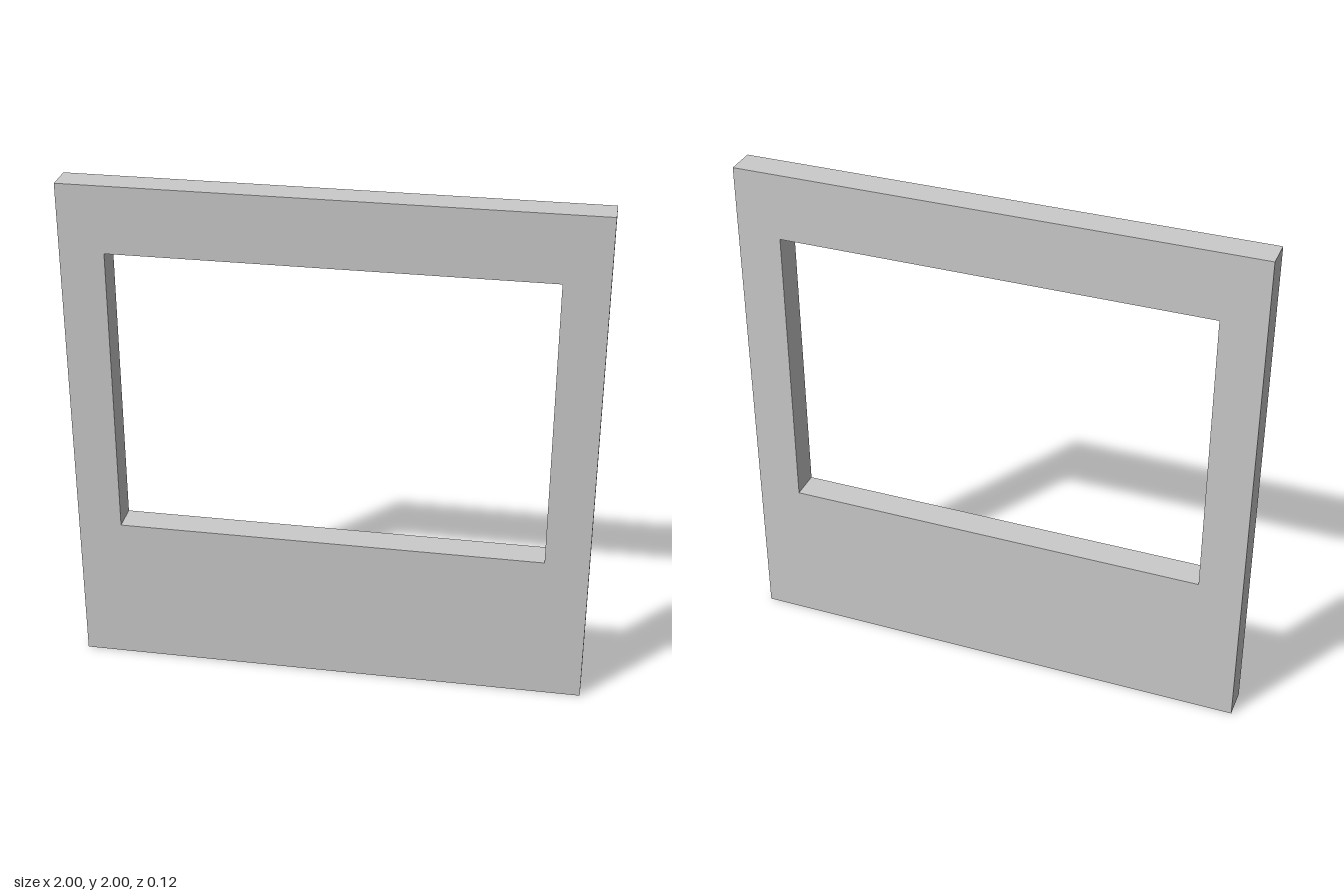
import * as THREE from 'three';

// Rectangle outline from its left, bottom, right and top edges
function rectangle(target, left, bottom, right, top) {
  target.moveTo(left, bottom);
  target.lineTo(right, bottom);
  target.lineTo(right, top);
  target.lineTo(left, top);
  target.closePath();
  return target;
}

export function createModel() {
  const depth = 0.116;
  const group = new THREE.Group();
  group.name = 'windowWall';

  // Wall panel with a wide opening through it
  const outline = rectangle(new THREE.Shape(), -1, 0, 1, 2);
  outline.holes.push(rectangle(new THREE.Path(), -0.83, 0.595, 0.83, 1.74));
  const geometry = new THREE.ExtrudeGeometry(outline, { depth, bevelEnabled: false });
  geometry.translate(0, 0, -depth / 2);

  const wall = new THREE.Mesh(
    geometry,
    new THREE.MeshStandardMaterial({ color: 0xcccccc, flatShading: true })
  );
  wall.name = 'wallPanel';
  group.add(wall);
  return group;
}
